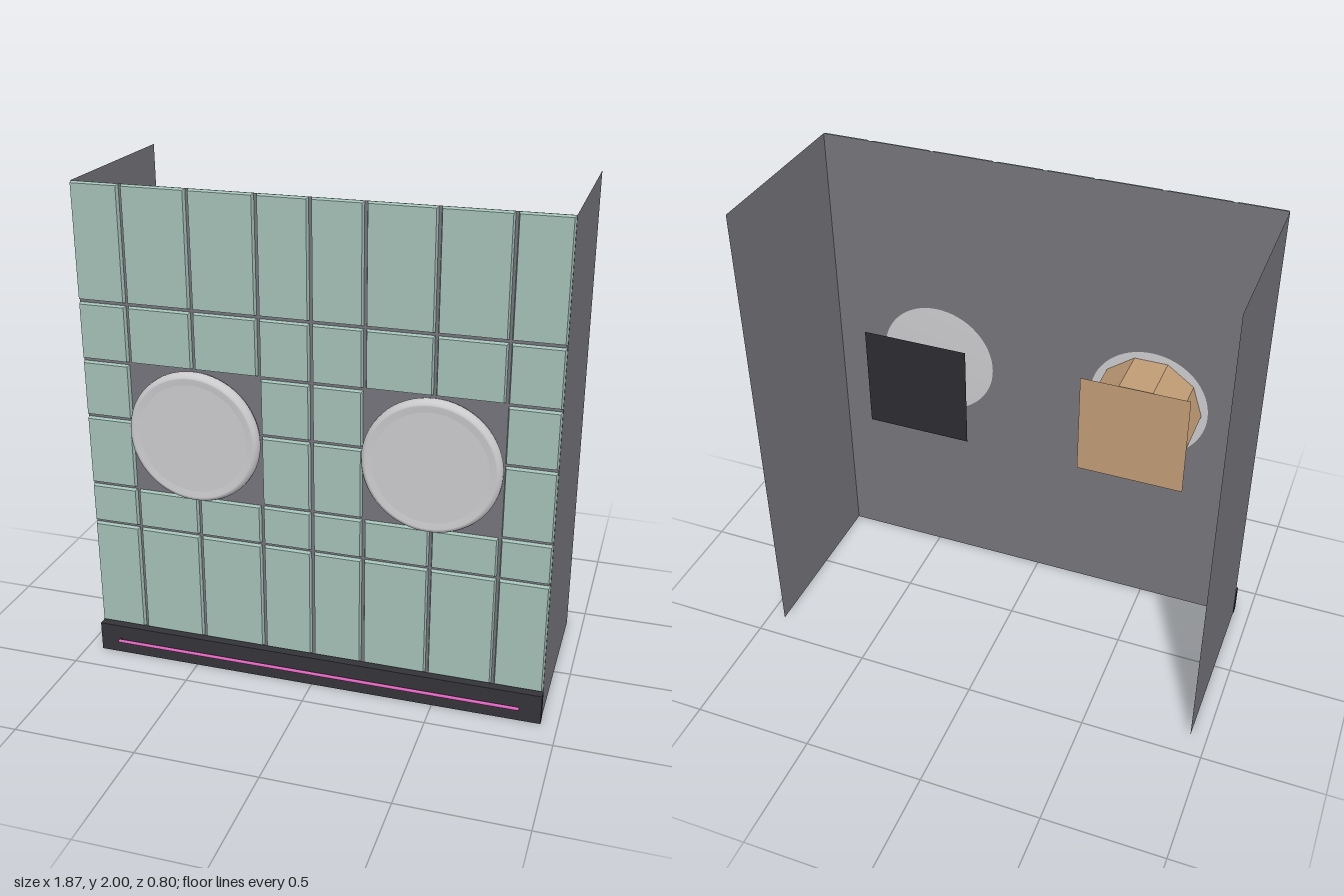
import * as THREE from 'three';

const mat = (name, color, extra = {}) => {
  const m = new THREE.MeshStandardMaterial({ color, ...extra });
  m.name = name;
  return m;
};

export function createModel() {
  const group = new THREE.Group();
  const double = { side: THREE.DoubleSide };
  const shell = mat('shell grey', 0x75747a, double);
  const tileMat = mat('pale green', 0xa3c0b6);
  const trim = mat('dark trim', 0x343338);
  const pink = mat('pink light', 0xdb62bb);
  const metal = mat('light grey', 0xcacacd);
  const black = mat('black', 0x2c2b30, double);
  const tan = mat('tan', 0xc09c76, { ...double, flatShading: true });

  const add = (name, geometry, material, x, y, z) => {
    const mesh = new THREE.Mesh(geometry, material);
    mesh.name = name;
    mesh.position.set(x, y, z);
    group.add(mesh);
    return mesh;
  };

  const W = 0.932, FRONT = 0.342, BACK = -0.402;

  // Thin shell: front wall and two side panels, open at top, bottom and back
  add('frontWall', new THREE.PlaneGeometry(2 * W, 2), shell, 0, 1, FRONT);
  for (const s of [1, -1]) {
    const side = add(s > 0 ? 'leftPanel' : 'rightPanel',
      new THREE.PlaneGeometry(FRONT - BACK, 2), shell, s * W, 1, (FRONT + BACK) / 2);
    side.rotation.y = s * Math.PI / 2;
  }

  // Bevelled tiles, leaving a square opening around each round door
  const cols = [-0.937, -0.733, -0.469, -0.205, 0, 0.205, 0.469, 0.733, 0.937];
  const rows = [0.125, 0.598, 0.77, 1.065, 1.3, 1.538, 2.005];
  const depth = 0.016, bevel = 0.005, gap = 0.011;
  const tiles = new THREE.Group();
  tiles.name = 'tiles';
  group.add(tiles);
  for (let r = 0; r < rows.length - 1; r++) {
    for (let c = 0; c < cols.length - 1; c++) {
      if ((r === 2 || r === 3) && [1, 2, 5, 6].includes(c)) continue;
      const w = cols[c + 1] - cols[c] - gap, h = rows[r + 1] - rows[r] - gap;
      const g = new THREE.BoxGeometry(w, h, depth);
      const p = g.attributes.position;
      for (let i = 0; i < p.count; i++) {
        if (p.getZ(i) > 0) {
          p.setX(i, p.getX(i) - Math.sign(p.getX(i)) * bevel);
          p.setY(i, p.getY(i) - Math.sign(p.getY(i)) * bevel);
        }
      }
      g.computeVertexNormals();
      const tile = new THREE.Mesh(g, tileMat);
      tile.name = 'tile';
      tile.position.set((cols[c] + cols[c + 1]) / 2, (rows[r] + rows[r + 1]) / 2,
        FRONT + 0.001 + depth / 2);
      tiles.add(tile);
    }
  }

  // Round doors with a rounded rim and a slightly sunken face
  const rim = [
    [0, 0], [0.25, 0], [0.264, 0.01], [0.268, 0.022], [0.267, 0.036], [0.261, 0.047],
    [0.252, 0.054], [0.246, 0.054], [0.222, 0.051],
  ].map(([x, y]) => new THREE.Vector2(x, y));
  const doorY = 1.034;
  for (const s of [1, -1]) {
    const x = s * 0.469, label = s > 0 ? 'left' : 'right';
    const frame = add(label + 'DoorRim', new THREE.LatheGeometry(rim, 64), metal, x, doorY, FRONT - 0.001);
    frame.rotation.x = Math.PI / 2;
    add(label + 'DoorFace', new THREE.CircleGeometry(0.222, 64), metal, x, doorY, FRONT + 0.05);
    // Square plate floating behind each door
    add(label + 'BackPlate', new THREE.PlaneGeometry(0.448, 0.448),
      s > 0 ? black : tan, x, doorY, 0.113);
  }

  // Ten-sided drum behind the right door
  const drum = add('drum', new THREE.CylinderGeometry(0.225, 0.225, FRONT - 0.116, 10, 1, true),
    tan, -0.469, doorY, (FRONT + 0.112) / 2);
  drum.geometry.rotateY(Math.PI / 2);
  drum.rotation.x = Math.PI / 2;

  // Base trim with a thin light bar
  add('baseTrim', new THREE.BoxGeometry(2 * W + 0.004, 0.125, 0.036), trim, 0, 0.0625, FRONT + 0.0185);
  const bar = add('lightBar', new THREE.CapsuleGeometry(0.007, 1.686, 4, 12), pink, 0, 0.063, 0.395);
  bar.rotation.z = Math.PI / 2;
  const stub = add('lightBarStub', new THREE.CylinderGeometry(0.003, 0.003, 0.02, 8), trim, -0.843, 0.063, 0.385);
  stub.rotation.x = Math.PI / 2;

  return group;
}
